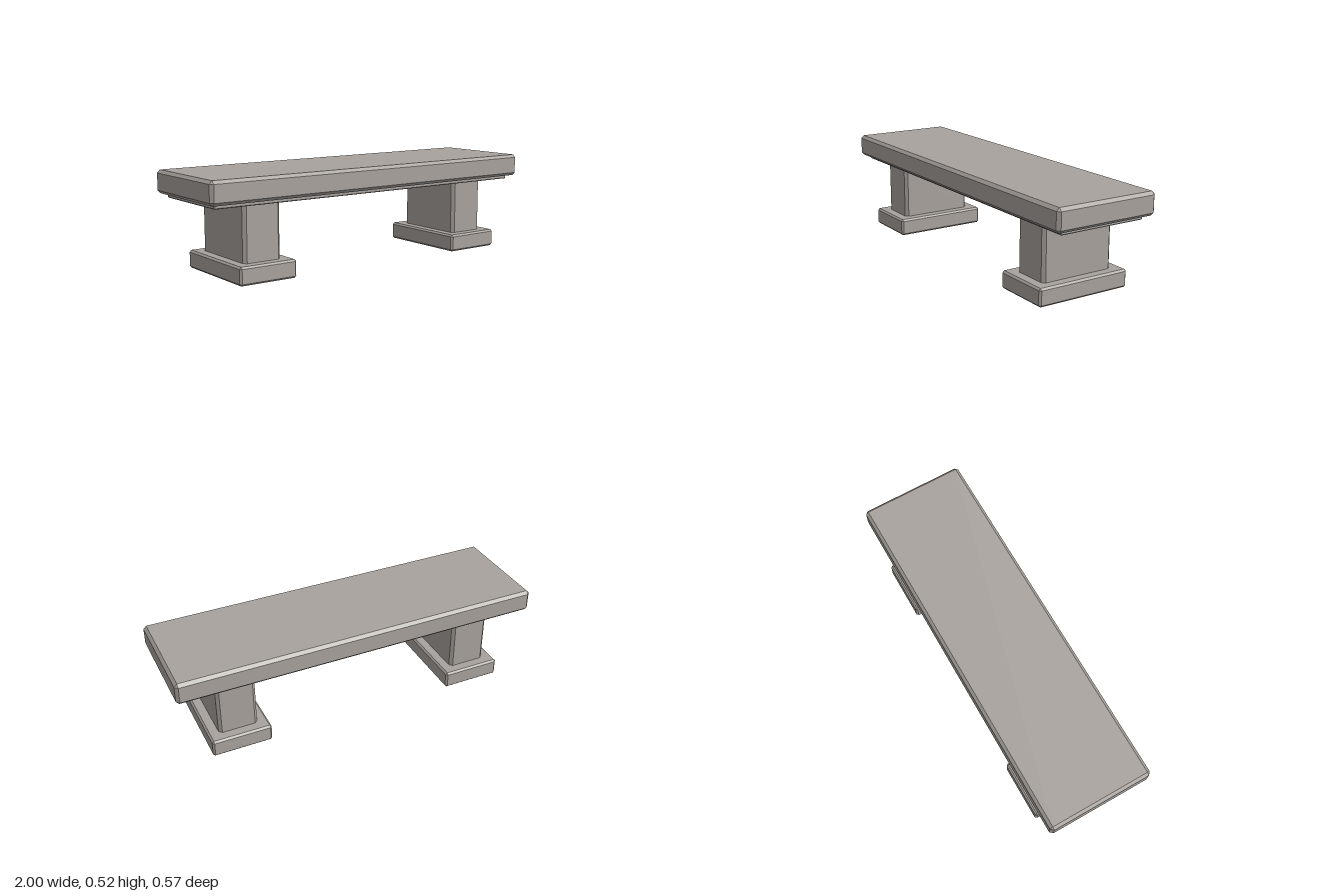
import * as THREE from 'three';
import { ConvexGeometry } from 'three/addons/geometries/ConvexGeometry.js';

// Box with every edge chamfered by c, spanning y0..y1 and centred on x and z
function chamferBox(width, depth, y0, y1, c) {
  const half = [width / 2, (y1 - y0) / 2, depth / 2];
  const points = [];
  for (const sx of [-1, 1]) for (const sy of [-1, 1]) for (const sz of [-1, 1]) {
    // each corner becomes three points, one on each adjoining face
    for (let face = 0; face < 3; face++) {
      const p = [sx, sy, sz].map((s, i) => s * (half[i] - (i === face ? 0 : c)));
      points.push(new THREE.Vector3(...p));
    }
  }
  return new ConvexGeometry(points).translate(0, (y0 + y1) / 2, 0);
}

export function createModel() {
  const stone = new THREE.MeshStandardMaterial({ color: 0xa8a29d });
  stone.name = 'warmGreyStone';

  const bench = new THREE.Group();
  bench.name = 'stoneBench';

  const add = (parent, name, geometry) => {
    const mesh = new THREE.Mesh(geometry, stone);
    mesh.name = name;
    parent.add(mesh);
  };

  // Seat slab with a thin recessed lip below it
  add(bench, 'seatSlab', chamferBox(2, 0.574, 0.401, 0.521, 0.016));
  add(bench, 'seatLip', chamferBox(1.92, 0.48, 0.38, 0.415, 0.004));

  // Two pedestals; pillar ends are sunk into the foot and the seat
  for (const side of [-1, 1]) {
    const pedestal = new THREE.Group();
    pedestal.name = side > 0 ? 'leftPedestal' : 'rightPedestal';
    pedestal.position.x = side * 0.68;
    add(pedestal, 'pillar', chamferBox(0.21, 0.412, 0.07, 0.4, 0.016));
    add(pedestal, 'foot', chamferBox(0.322, 0.527, 0, 0.094, 0.01));
    bench.add(pedestal);
  }
  return bench;
}
